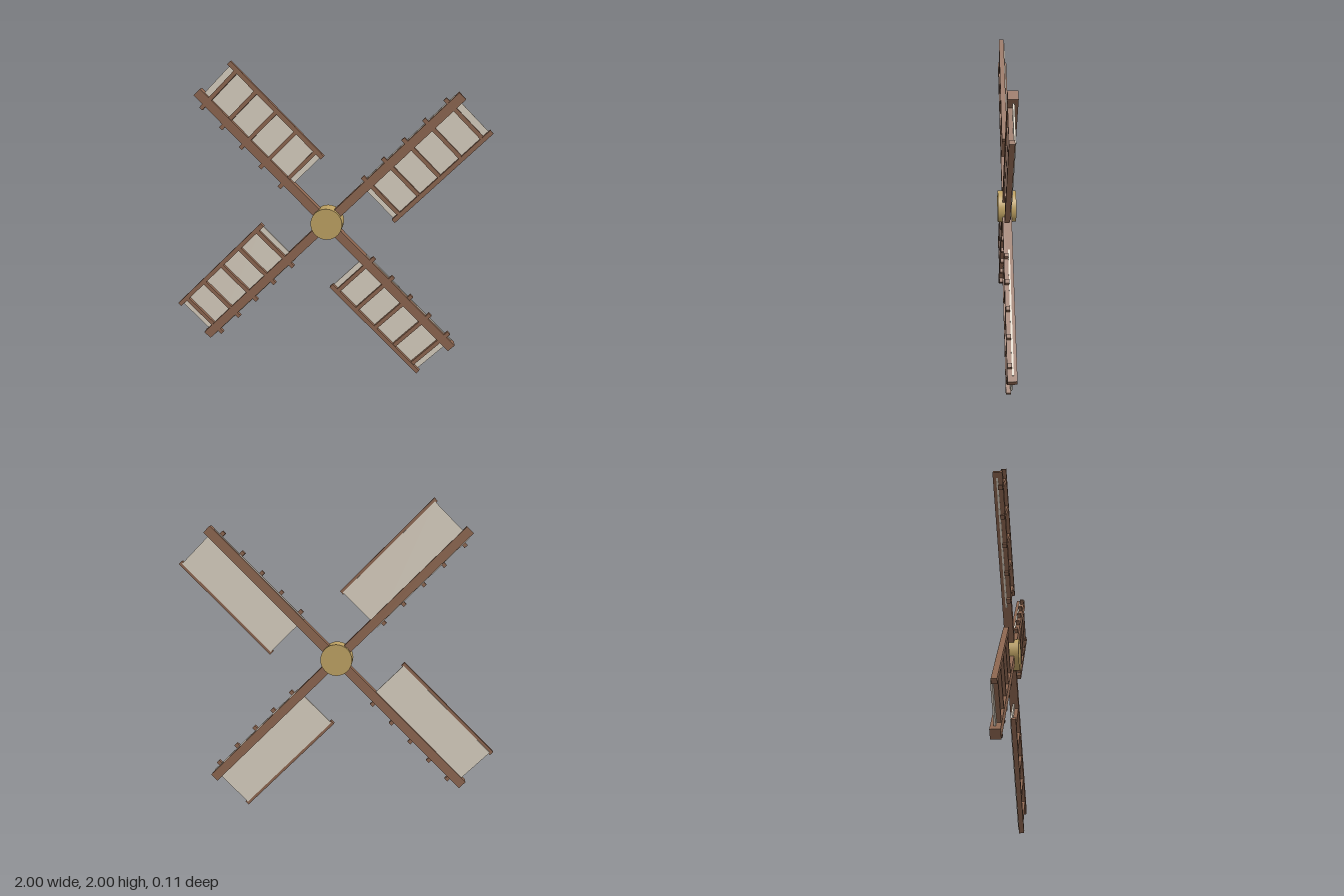
import * as THREE from 'three';

const wood = new THREE.MeshStandardMaterial({ color: 0x8b654f });
const cloth = new THREE.MeshStandardMaterial({ color: 0xd6cdbe });
const brass = new THREE.MeshStandardMaterial({ color: 0xbca062 });

// Box given by its extents along each axis
function slab(name, material, [x0, x1], [y0, y1], [z0, z1]) {
  const mesh = new THREE.Mesh(new THREE.BoxGeometry(x1 - x0, y1 - y0, z1 - z0), material);
  mesh.position.set((x0 + x1) / 2, (y0 + y1) / 2, (z0 + z1) / 2);
  mesh.name = name;
  return mesh;
}

// One blade lying along +x, with its sail on the -y side
function createBlade() {
  const blade = new THREE.Group();
  blade.name = 'blade';
  blade.add(
    slab('spar', wood, [0, 1.146], [-0.0285, 0.0285], [-0.0285, 0.0285]),
    slab('outerRail', wood, [0.316, 1.126], [-0.29, -0.262], [-0.003, 0.0285]),
    slab('sailCloth', cloth, [0.325, 1.112], [-0.272, 0.034], [-0.009, 0.002])
  );
  // Rungs cross the spar and stick out a little behind it
  for (let i = 0; i < 5; i++) {
    const x = 0.371 + i * 0.172;
    blade.add(slab('rung', wood, [x - 0.0125, x + 0.0125], [-0.275, 0.058], [0.001, 0.026]));
  }
  return blade;
}

export function createModel() {
  const model = new THREE.Group();
  model.name = 'windmillSails';

  // Hub, axis towards the front
  const hub = new THREE.Mesh(new THREE.CylinderGeometry(0.1, 0.1, 0.114, 32), brass);
  hub.name = 'hub';
  hub.rotation.x = Math.PI / 2;
  hub.position.y = 1;
  model.add(hub);

  // Four blades in a diagonal cross
  for (let i = 0; i < 4; i++) {
    const blade = createBlade();
    blade.position.y = 1;
    blade.rotation.z = Math.PI / 4 + (i * Math.PI) / 2;
    model.add(blade);
  }
  return model;
}
